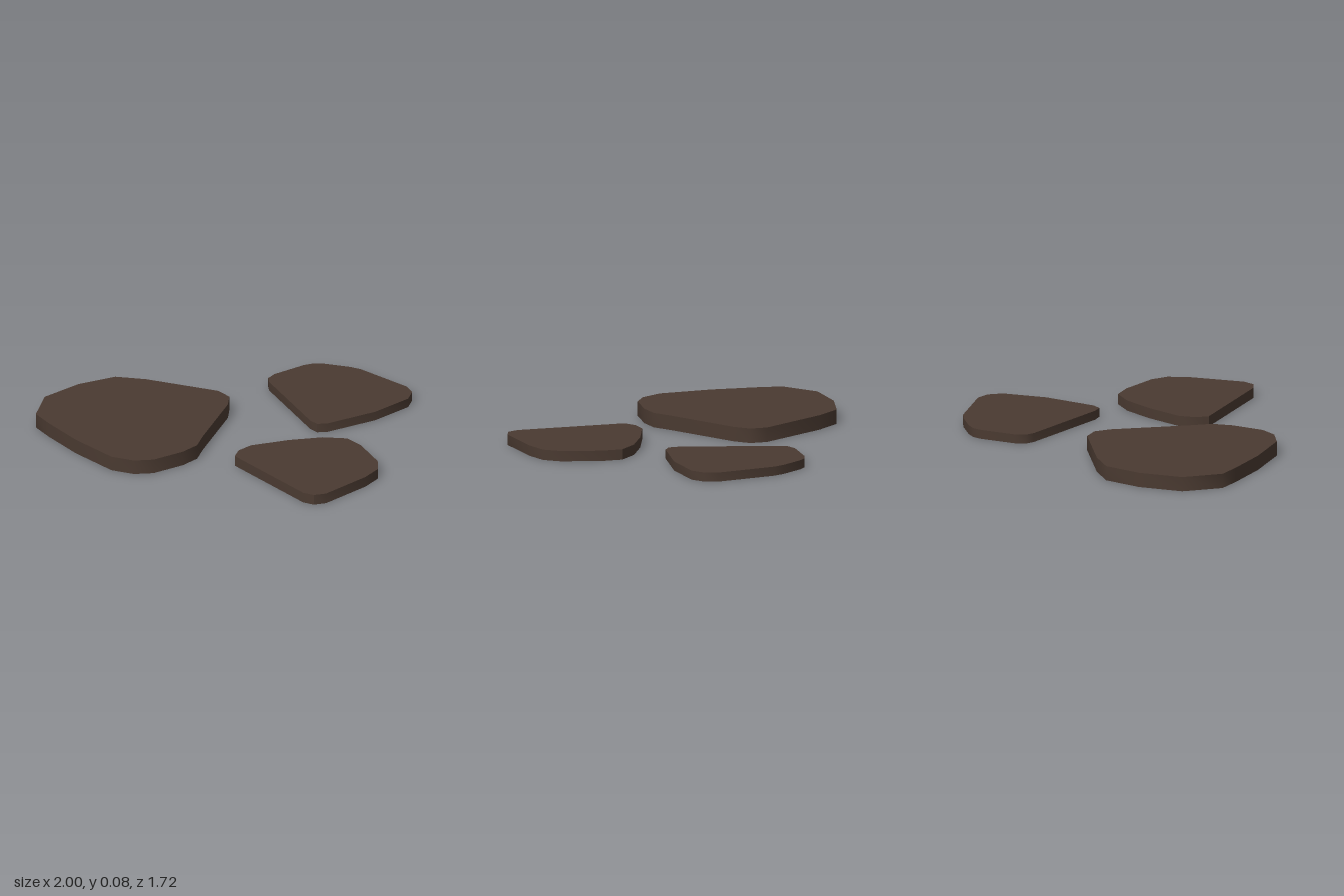
import * as THREE from 'three';
import { toCreasedNormals } from 'three/addons/utils/BufferGeometryUtils.js';

// Flat stones: outline as [x, z] pairs seen from above, plus thickness
const STONES = [
  {
    name: 'largeStone', height: 0.08,
    outline: [[-0.61, -0.54], [-0.44, -0.52], [-0.04, -0.4], [0.025, -0.33], [0.025, -0.23],
      [-0.08, 0.2], [-0.1, 0.31], [-0.17, 0.4], [-0.32, 0.515], [-0.425, 0.535], [-0.55, 0.495],
      [-0.76, 0.29], [-0.92, 0.09], [-1, -0.025], [-0.97, -0.25], [-0.8, -0.43]],
  },
  {
    name: 'backStone', height: 0.05,
    outline: [[0.44, -0.86], [0.5, -0.86], [0.64, -0.83], [0.7, -0.805], [0.965, -0.6], [1, -0.53],
      [0.985, -0.445], [0.82, -0.26], [0.575, -0.09], [0.52, -0.08], [0.48, -0.12],
      [0.22, -0.6], [0.21, -0.65], [0.24, -0.705], [0.39, -0.835]],
  },
  {
    name: 'frontStone', height: 0.057,
    outline: [[0.565, 0.105], [0.7, 0.11], [0.78, 0.195], [0.885, 0.39], [0.895, 0.49], [0.835, 0.6],
      [0.64, 0.83], [0.575, 0.855], [0.515, 0.83], [0.11, 0.385], [0.125, 0.31], [0.185, 0.24],
      [0.385, 0.155]],
  },
];

export function createModel() {
  const group = new THREE.Group();
  group.name = 'steppingStones';
  const material = new THREE.MeshStandardMaterial({ color: 0x4a3a31 });

  for (const { name, height, outline } of STONES) {
    const shape = new THREE.Shape(outline.map(([x, z]) => new THREE.Vector2(x, -z)));
    const slab = new THREE.ExtrudeGeometry(shape, { depth: height, bevelEnabled: false });
    slab.rotateX(-Math.PI / 2);
    // Rounded flanks, crisp top and bottom rims
    const stone = new THREE.Mesh(toCreasedNormals(slab, 0.75), material);
    stone.name = name;
    group.add(stone);
  }
  return group;
}
